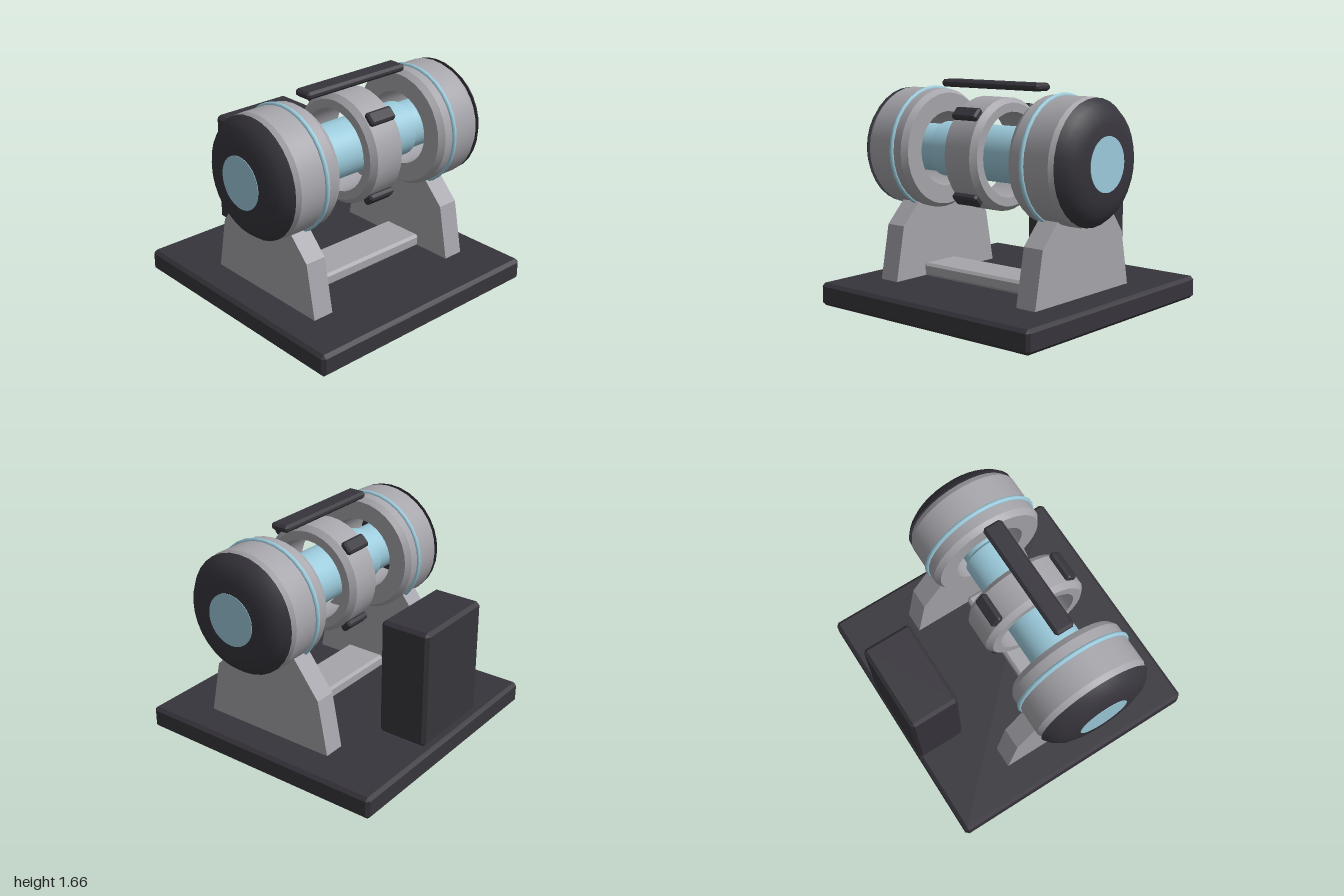
import * as THREE from 'three';
import { toCreasedNormals } from 'three/addons/utils/BufferGeometryUtils.js';
import { ConvexGeometry } from 'three/addons/geometries/ConvexGeometry.js';

const AXIS_Y = 1.14, AXIS_Z = 0.165, SIDES = 32;

function material(name, color) {
  const m = new THREE.MeshStandardMaterial({ color });
  m.name = name;
  return m;
}

// Box with every edge chamfered by c
function chamferBox(w, h, d, c) {
  const points = [];
  for (const sx of [-1, 1]) for (const sy of [-1, 1]) for (const sz of [-1, 1]) {
    const x = sx * w / 2, y = sy * h / 2, z = sz * d / 2;
    points.push(
      new THREE.Vector3(x, y - sy * c, z - sz * c),
      new THREE.Vector3(x - sx * c, y, z - sz * c),
      new THREE.Vector3(x - sx * c, y - sy * c, z));
  }
  return new ConvexGeometry(points);
}

// Profile of [radius, distance along x], turned around the x axis; side -1 mirrors it
function turned(profile, side = 1) {
  const g = new THREE.LatheGeometry(profile.map(([r, x]) => new THREE.Vector2(r, x)), SIDES);
  g.rotateZ(-side * Math.PI / 2);
  return toCreasedNormals(g, 0.5);
}

export function createModel() {
  const model = new THREE.Group();
  model.name = 'drumMachine';
  const dark = material('charcoal', 0x37353c);
  const grey = material('grey', 0xa5a5ab);
  const blue = material('paleBlue', 0x9ccbdc);

  function add(parent, name, geometry, mat, x = 0, y = 0, z = 0) {
    const mesh = new THREE.Mesh(geometry, mat);
    mesh.name = name;
    mesh.position.set(x, y, z);
    parent.add(mesh);
    return mesh;
  }

  // Base, cross bar, rear cabinet and top handle
  add(model, 'base', chamferBox(2, 0.17, 2, 0.025), dark, 0, 0.085, 0);
  add(model, 'crossBar', chamferBox(1.16, 0.1, 0.34, 0.02), grey, 0, 0.22, AXIS_Z);
  add(model, 'rearCabinet', chamferBox(0.685, 0.88, 0.385, 0.025), dark, 0, 0.675, -0.807);
  add(model, 'topHandle', chamferBox(0.925, 0.055, 0.15, 0.018), dark, 0, 1.637, 0.175);

  // Everything turned about the horizontal axis
  const rotor = new THREE.Group();
  rotor.name = 'rotor';
  rotor.position.set(0, AXIS_Y, AXIS_Z);
  model.add(rotor);

  add(rotor, 'tube', turned([
    [0, -0.49], [0.188, -0.49], [0.207, -0.47], [0.207, 0.47], [0.188, 0.49], [0, 0.49],
  ]), blue);
  add(rotor, 'core', turned([[0.18, -0.89], [0.18, 0.89]]), blue);

  // Middle ring with four clips
  add(rotor, 'middleRing', turned([
    [0.31, -0.155], [0.375, -0.155], [0.412, -0.115], [0.412, 0.115],
    [0.375, 0.155], [0.31, 0.155], [0.31, -0.155],
  ]), grey);
  for (let i = 0; i < 4; i++) {
    const a = Math.PI / 4 + i * Math.PI / 2;
    const clip = add(rotor, 'clip', chamferBox(0.23, 0.055, 0.1, 0.015), dark,
      0, 0.431 * Math.cos(a), 0.431 * Math.sin(a));
    clip.rotation.x = a;
  }

  // Support outline as [z, y]
  const outline = [[0.62, 0.165], [0.54, 0.58], [0.3, 0.83], [0.1, 0.83],
    [-0.17, 0.855], [-0.38, 0.58], [-0.46, 0.165]];
  const supportShape = new THREE.Shape(outline.map(([z, y]) => new THREE.Vector2(-z, y)));

  for (const side of [1, -1]) {
    const prefix = side > 0 ? 'left' : 'right';

    // End drum: hollow housing, band, domed cap and round end plate
    const drum = new THREE.Group();
    drum.name = prefix + 'Drum';
    rotor.add(drum);
    add(drum, 'housing', turned([
      [0.28, 0.48], [0.42, 0.48], [0.45, 0.525], [0.45, 0.84],
      [0.42, 0.886], [0.28, 0.886], [0.28, 0.48],
    ], side), grey);
    const band = new THREE.TorusGeometry(0.45, 0.018, 8, SIDES);
    band.rotateY(Math.PI / 2);
    add(drum, 'band', band, blue, side * 0.617, 0, 0);
    add(drum, 'endCap', turned([
      [0, 0.885], [0.445, 0.885], [0.405, 0.935], [0.355, 0.97], [0.275, 0.996], [0, 0.998],
    ], side), dark);
    const plate = new THREE.CylinderGeometry(0.193, 0.193, 0.008, SIDES);
    plate.rotateZ(Math.PI / 2);
    add(drum, 'endPlate', plate, blue, side * 0.996, 0, 0);

    // Support under the drum
    const support = new THREE.ExtrudeGeometry(supportShape, { depth: 0.165, bevelEnabled: false });
    support.rotateY(Math.PI / 2);
    add(model, prefix + 'Support', support, grey, side * 0.662 - 0.0825, 0, 0);
  }
  return model;
}
